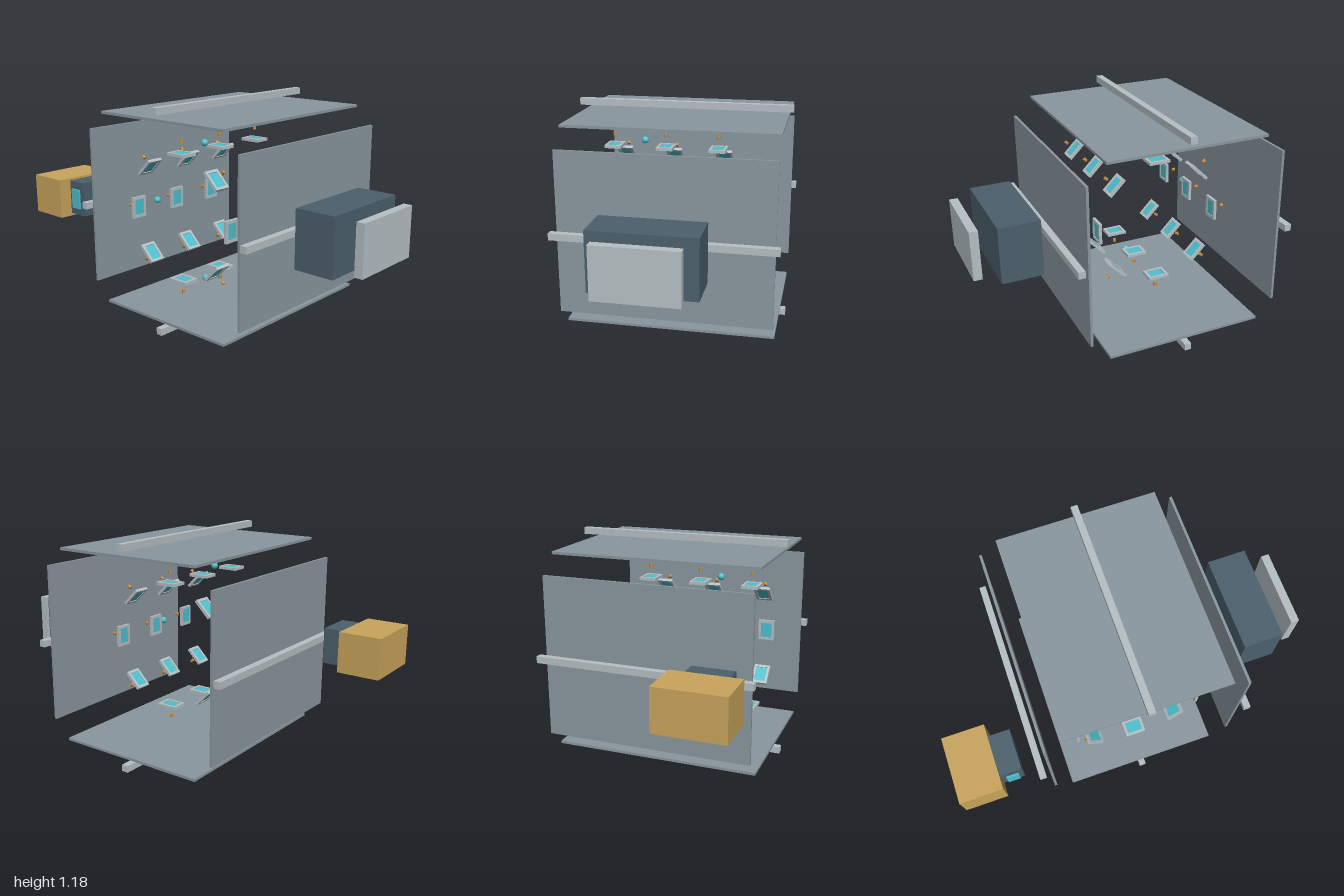
import * as THREE from 'three';

const material = (name, color, extra = {}) => {
  const m = new THREE.MeshStandardMaterial({ color, ...extra });
  m.name = name;
  return m;
};

export function createModel() {
  const model = new THREE.Group();
  model.name = 'explodedModule';

  const panelGrey = material('panel grey', 0x8a979f);
  const lightMetal = material('light metal', 0xb6c0c5);
  const darkSteel = material('dark steel', 0x4b606d);
  const gold = material('gold', 0xc9a45c);
  const cyan = material('cyan glass', 0x4dc0ce);
  const amber = material('amber', 0xc98a38);

  const add = (parent, name, geometry, mat, x = 0, y = 0, z = 0) => {
    const mesh = new THREE.Mesh(geometry, mat);
    mesh.name = name;
    mesh.position.set(x, y, z);
    parent.add(mesh);
    return mesh;
  };

  // Box given by its minimum and maximum corners
  const block = (name, mat, [x0, y0, z0], [x1, y1, z1]) =>
    add(model, name, new THREE.BoxGeometry(x1 - x0, y1 - y0, z1 - z0), mat,
      (x0 + x1) / 2, (y0 + y1) / 2, (z0 + z1) / 2);

  const cx = 0.005, cy = 0.591;

  // Four hull panels, each with a long rail outside it
  const panelGeo = new THREE.BoxGeometry(0.855, 0.014, 1.094);
  const railGeo = new THREE.BoxGeometry(0.036, 0.036, 1.144);
  ['top', 'left', 'bottom', 'right'].forEach((side, i) => {
    const arm = new THREE.Group();
    arm.name = side + 'Shell';
    arm.position.set(cx, cy, -0.003);
    arm.rotation.z = -i * Math.PI / 2;
    add(arm, side + 'Panel', panelGeo, panelGrey, 0, 0.523, 0);
    add(arm, side + 'Rail', railGeo, lightMetal, 0, 0.571, 0);
    model.add(arm);
  });

  // Window frame: rectangular ring lying flat, centred on its thickness
  const rect = (Target, w, h) => {
    const r = new Target();
    r.moveTo(-w / 2, -h / 2);
    r.lineTo(w / 2, -h / 2);
    r.lineTo(w / 2, h / 2);
    r.lineTo(-w / 2, h / 2);
    r.closePath();
    return r;
  };
  const frameShape = rect(THREE.Shape, 0.114, 0.09);
  frameShape.holes.push(rect(THREE.Path, 0.084, 0.062));
  const frameGeo = new THREE.ExtrudeGeometry(frameShape, { depth: 0.016, bevelEnabled: false });
  frameGeo.translate(0, 0, -0.008);
  frameGeo.rotateX(-Math.PI / 2);
  const paneGeo = new THREE.BoxGeometry(0.084, 0.008, 0.062);
  const knobGeo = new THREE.CylinderGeometry(0.009, 0.009, 0.018, 12);
  const ballGeo = new THREE.SphereGeometry(0.019, 20, 14);

  // Three rings of eight windows, with knobs outside them
  for (let i = 0; i < 8; i++) {
    const spoke = new THREE.Group();
    spoke.name = 'windowRow' + (i + 1);
    spoke.position.set(cx, cy, 0);
    spoke.rotation.z = -i * Math.PI / 4;
    for (const z of [0.385, 0.1, -0.185]) {
      add(spoke, 'windowFrame', frameGeo, lightMetal, 0, 0.336, z);
      add(spoke, 'windowPane', paneGeo, cyan, 0, 0.336, z);
      add(spoke, 'knob', knobGeo, amber, 0, 0.399, z);
    }
    // Sensor balls on the four main axes
    if (i % 2 === 0) add(spoke, 'sensorBall', ballGeo, cyan, 0, 0.371, 0.215);
    model.add(spoke);
  }

  // Equipment on the left: housing and cover plate
  block('leftHousing', darkSteel, [0.655, 0.44, -0.243], [0.873, 0.744, 0.287]);
  block('leftCoverPlate', lightMetal, [0.952, 0.459, -0.187], [0.997, 0.724, 0.232]);

  // Equipment on the right: crate, control unit and its screen
  block('rightCrate', gold, [-1, 0.484, 0.222], [-0.772, 0.701, 0.575]);
  block('controlUnit', darkSteel, [-0.772, 0.499, 0.287], [-0.655, 0.689, 0.504]);
  block('controlScreen', cyan, [-0.744, 0.539, 0.51], [-0.678, 0.649, 0.519]);

  return model;
}
